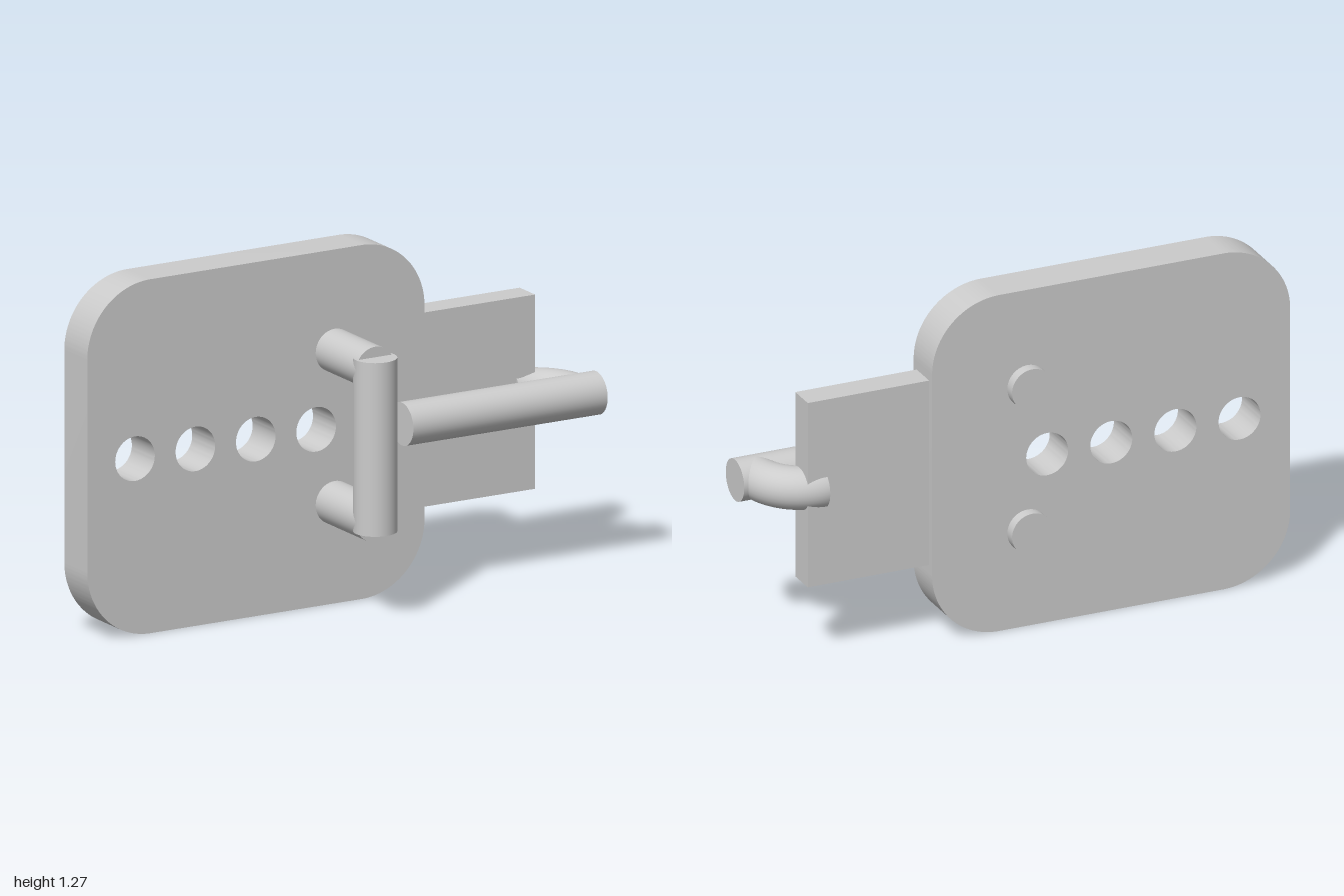
import * as THREE from 'three';
import { toCreasedNormals } from 'three/addons/utils/BufferGeometryUtils.js';

const R = 0.077;      // radius of all round bars
const MID_Y = 0.636;  // height of the lock axis

export function createModel() {
  const model = new THREE.Group();
  model.name = 'slidingLatch';
  const material = new THREE.MeshStandardMaterial({ color: 0xcccccc });

  function add(name, geometry, x = 0, y = 0, z = 0, parent = model) {
    const mesh = new THREE.Mesh(geometry, material);
    mesh.name = name;
    mesh.position.set(x, y, z);
    parent.add(mesh);
    return mesh;
  }
  const rod = (length) => new THREE.CylinderGeometry(R, R, length, 48);

  // Rounded plate with a row of through holes
  const x0 = -1, x1 = 0.363, h = 1.272, r = 0.255;
  const outline = new THREE.Shape();
  outline.absarc(x1 - r, r, r, -Math.PI / 2, 0);
  outline.absarc(x1 - r, h - r, r, 0, Math.PI / 2);
  outline.absarc(x0 + r, h - r, r, Math.PI / 2, Math.PI);
  outline.absarc(x0 + r, r, r, Math.PI, Math.PI * 1.5);
  outline.closePath();
  for (let i = 0; i < 4; i++) {
    const hole = new THREE.Path();
    hole.absarc(-0.807 + i * 0.244, MID_Y, 0.08, 0, Math.PI * 2, true);
    outline.holes.push(hole);
  }
  const plate = new THREE.ExtrudeGeometry(outline, { depth: 0.154, bevelEnabled: false, curveSegments: 32 });
  add('plate', toCreasedNormals(plate, 0.6), 0, 0, -0.23);

  // Flat tongue reaching out of the plate's side
  add('tongue', new THREE.BoxGeometry(0.475, 0.698, 0.104), 0.5875, MID_Y, -0.153);

  // Pull handle: upright grip on two pins that pass through the plate
  const handle = new THREE.Group();
  handle.name = 'pullHandle';
  model.add(handle);
  add('grip', rod(0.624), 0, 0.637, 0.195, handle);
  for (const [name, y] of [['upperPin', 0.91], ['lowerPin', 0.363]]) {
    add(name, rod(0.465), 0, y, -0.0375, handle).rotation.x = Math.PI / 2;
  }

  // Lever: straight bar joined to the tongue by a quarter bend
  const lever = new THREE.Group();
  lever.name = 'lever';
  model.add(lever);
  add('leverBar', rod(0.785), 0.6075, MID_Y, 0.018, lever).rotation.z = Math.PI / 2;
  const bend = new THREE.TorusGeometry(0.17, R, 32, 32, Math.PI / 2);
  add('leverBend', bend, 0.75, MID_Y, 0.018, lever).rotation.x = -Math.PI / 2;
  const cap = new THREE.CircleGeometry(R, 32);
  add('bendEnd', cap, 0.75, MID_Y, -0.152, lever).rotation.y = -Math.PI / 2;

  return model;
}
